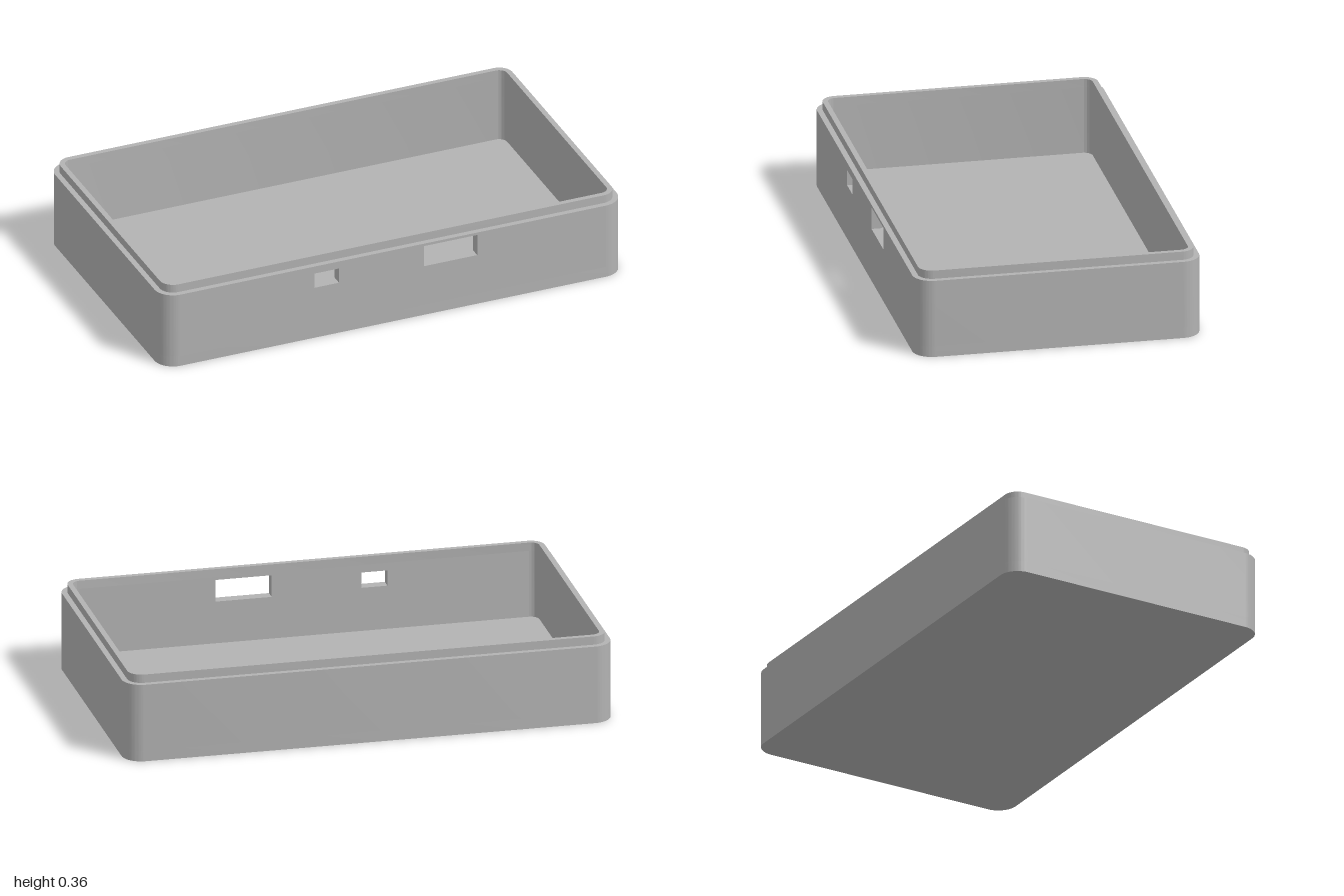
import * as THREE from 'three';
import { toCreasedNormals } from 'three/addons/utils/BufferGeometryUtils.js';

// Shared corner centres: every outline is concentric about these
const CX = 0.92, CZ = 0.503;
const R_OUT = 0.08, R_LIP = 0.057, R_IN = 0.035;
const FLOOR = 0.045, SHOULDER = 0.325, TOP = 0.36;

// Four corner arcs, starting and ending at the front edge
function arcs(path, r, reverse = false) {
  const corners = [[CX, -CZ], [CX, CZ], [-CX, CZ], [-CX, -CZ]];
  const order = reverse ? [3, 2, 1, 0] : [0, 1, 2, 3];
  for (const i of order) {
    const a = (i - 1) * Math.PI / 2, b = a + Math.PI / 2;
    path.absarc(corners[i][0], corners[i][1], r, reverse ? b : a, reverse ? a : b, reverse);
  }
  return path;
}

function extrude(shape, depth) {
  return new THREE.ExtrudeGeometry(shape, { depth, bevelEnabled: false, curveSegments: 14 });
}

// Extrudes a plan outline upward from y0 to y1
function slab(shape, y0, y1) {
  const g = extrude(shape, y1 - y0).rotateX(-Math.PI / 2).translate(0, y0, 0);
  return toCreasedNormals(g, 0.5);
}

function rect(path, x0, y0, x1, y1) {
  path.moveTo(x0, y0).lineTo(x1, y0).lineTo(x1, y1).lineTo(x0, y1);
  path.closePath();
  return path;
}

export function createModel() {
  const group = new THREE.Group();
  group.name = 'enclosureBase';
  const grey = new THREE.MeshStandardMaterial({ color: 0xb2b2b2 });
  grey.name = 'grey plastic';
  const add = (name, geometry) => {
    const mesh = new THREE.Mesh(geometry, grey);
    mesh.name = name;
    group.add(mesh);
  };

  // Floor plate
  add('floor', slab(arcs(new THREE.Shape(), R_OUT), 0, FLOOR));

  // Side and back walls with all four rounded corners, open at the front
  const wall = arcs(arcs(new THREE.Shape(), R_OUT), R_IN, true);
  wall.closePath();
  add('sideAndBackWalls', slab(wall, FLOOR, SHOULDER));

  // Straight front wall with two connector openings
  const front = rect(new THREE.Shape(), -CX, FLOOR, CX, SHOULDER);
  front.holes.push(
    rect(new THREE.Path(), -0.341, 0.228, -0.235, 0.293),
    rect(new THREE.Path(), 0.133, 0.222, 0.363, 0.314),
  );
  add('frontWall', extrude(front, R_OUT - R_IN).translate(0, 0, CZ + R_IN));

  // Stepped lip that locates the lid
  const lip = arcs(new THREE.Shape(), R_LIP);
  lip.holes.push(arcs(new THREE.Path(), R_IN));
  add('lip', slab(lip, SHOULDER, TOP));

  return group;
}
